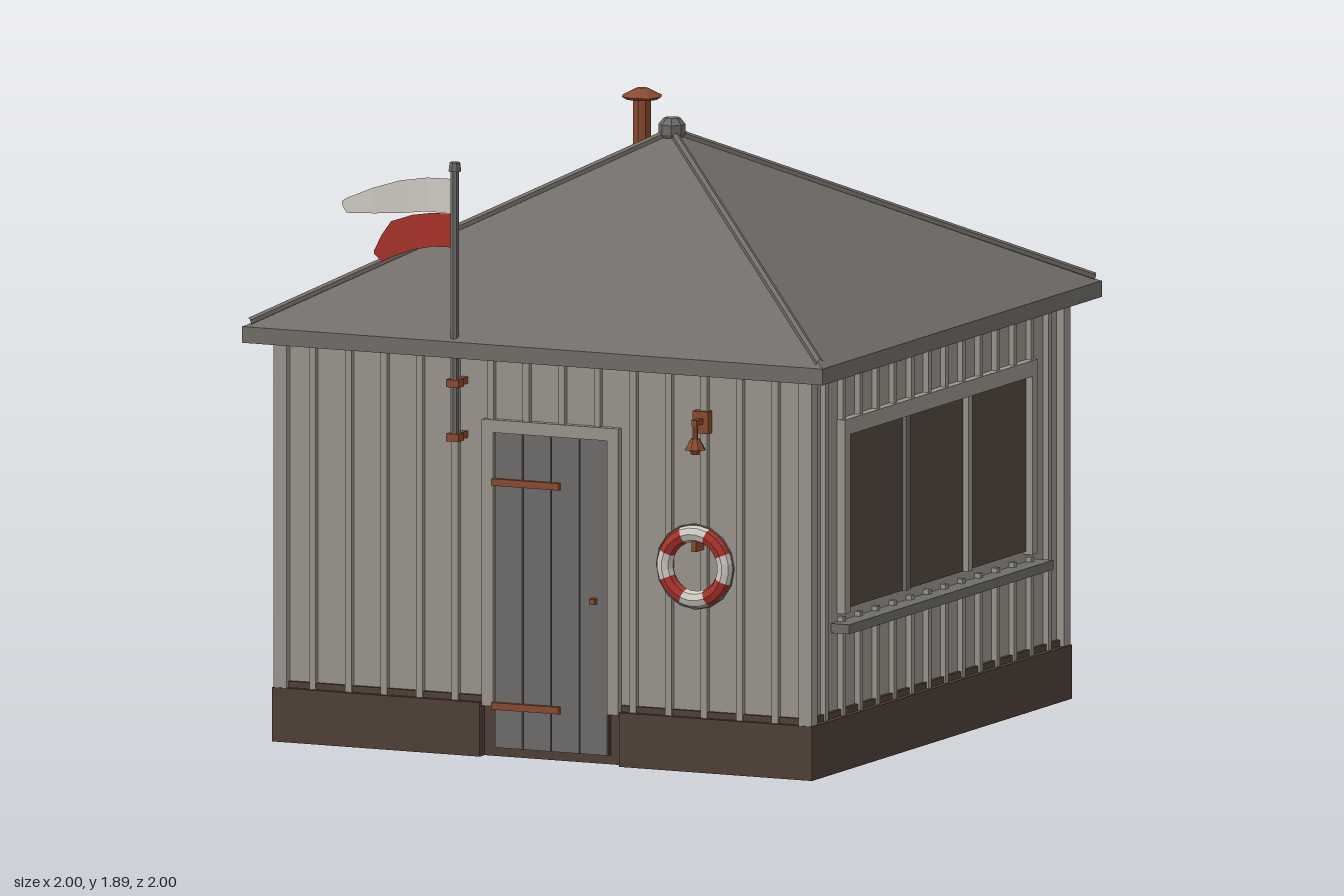
import * as THREE from 'three';

const mat = (name, color, extra = {}) =>
  Object.assign(new THREE.MeshStandardMaterial({ color, flatShading: true, ...extra }), { name });

export function createModel() {
  const wood = mat('weathered wood', 0x9a958c);
  const roofGrey = mat('roof felt', 0x716d68);
  const brown = mat('dark plinth', 0x4f4037);
  const shutter = mat('shutter brown', 0x53473f);
  const steel = mat('grey metal', 0x6d6c6a);
  const rust = mat('rust', 0x8a4a30);
  const red = mat('red', 0xa8332a, { side: THREE.DoubleSide });
  const white = mat('off white', 0xcfccc4, { side: THREE.DoubleSide });

  const model = new THREE.Group();
  model.name = 'beachHut';
  const add = (name, geo, m, parent = model) => {
    const mesh = new THREE.Mesh(geo, m);
    mesh.name = name;
    parent.add(mesh);
    return mesh;
  };
  // box given by its extents on each axis
  const box = (name, [x0, x1], [y0, y1], [z0, z1], m, parent) => {
    const b = add(name, new THREE.BoxGeometry(x1 - x0, y1 - y0, z1 - z0), m, parent);
    b.position.set((x0 + x1) / 2, (y0 + y1) / 2, (z0 + z1) / 2);
    return b;
  };
  // upright cylinder or cone between two heights
  const post = (name, x, z, y0, y1, rBottom, rTop, m, sides = 8) => {
    const p = add(name, new THREE.CylinderGeometry(rTop, rBottom, y1 - y0, sides), m);
    p.position.set(x, (y0 + y1) / 2, z);
    return p;
  };

  // plinth, notched at the doorway
  box('plinth', [-0.93, 0.93], [0, 0.17], [-0.93, 0.895], brown);
  box('plinthFrontRight', [-0.93, -0.215], [0, 0.17], [0.895, 0.93], brown);
  box('plinthFrontLeft', [0.265, 0.93], [0, 0.17], [0.895, 0.93], brown);
  box('wallCore', [-0.9, 0.9], [0.17, 1.27], [-0.9, 0.9], wood);

  // board walls: each side is built facing +z and turned; openings are [u0, u1, v0, v1]
  const sides = [
    ['front', 0, [-0.21, 0.26, 0, 1.06]],
    ['left', Math.PI / 2, [-0.69, 0.69, 0.48, 1.1]],
    ['back', Math.PI, null],
    ['right', -Math.PI / 2, null],
  ];
  for (const [side, angle, hole] of sides) {
    const wall = new THREE.Group();
    wall.name = side + 'Wall';
    wall.rotation.y = angle;
    model.add(wall);
    const batten = (u, y0, y1) =>
      y1 > y0 && box('batten', [u - 0.011, u + 0.011], [y0, y1], [0.895, 0.918], wood, wall);
    for (let i = 0; i < 14; i++) {
      const u = (i - 6.5) * 0.1225;
      if (hole && u > hole[0] && u < hole[1]) {
        batten(u, 0.17, hole[2]);
        batten(u, hole[3], 1.26);
      } else batten(u, 0.17, 1.26);
    }
    // skirting strip along the wall foot
    const strips = side === 'front' ? [[-0.885, -0.215], [0.265, 0.885]] : [[-0.885, 0.885]];
    for (const s of strips) box('skirting', s, [0.165, 0.19], [0.89, 0.912], brown, wall);
  }
  for (const sx of [-1, 1]) for (const sz of [-1, 1]) {
    const c = box('cornerBoard', [-0.022, 0.022], [0.17, 1.26], [-0.022, 0.022], wood);
    c.position.x = sx * 0.904;
    c.position.z = sz * 0.904;
  }

  // door with planks, frame, strap hinges and knob
  box('doorJambRight', [-0.21, -0.172], [0.16, 1.06], [0.89, 0.925], wood);
  box('doorJambLeft', [0.222, 0.26], [0.16, 1.06], [0.89, 0.925], wood);
  box('doorHead', [-0.21, 0.26], [1.02, 1.06], [0.89, 0.925], wood);
  box('doorBack', [-0.17, 0.22], [0.03, 1.02], [0.89, 0.906], brown);
  for (let i = 0; i < 4; i++) {
    const x = -0.17 + i * 0.0975;
    box('doorPlank', [x + 0.002, x + 0.0955], [0.03, 1.02], [0.9, 0.917], steel);
  }
  for (const y of [0.162, 0.865])
    box('strapHinge', [-0.175, 0.057], [y - 0.011, y + 0.011], [0.91, 0.932], rust);
  box('doorKnob', [0.166, 0.184], [0.504, 0.522], [0.91, 0.937], rust);

  // serving window on the left wall
  box('shutterPanel', [0.895, 0.906], [0.5, 1.05], [-0.65, 0.65], shutter);
  for (const s of [-1, 1])
    box('windowJamb', [0.89, 0.928], [0.49, 1.1], s < 0 ? [-0.69, -0.65] : [0.65, 0.69], wood);
  box('windowHead', [0.89, 0.928], [1.05, 1.1], [-0.69, 0.69], wood);
  box('windowMullionFront', [0.89, 0.92], [0.5, 1.05], [0.203, 0.232], steel);
  box('windowMullionBack', [0.89, 0.924], [0.5, 1.05], [-0.231, -0.202], wood);
  box('windowSill', [0.89, 0.962], [0.435, 0.465], [-0.73, 0.73], steel);

  // roof: eaves slab, pyramid, hip caps and finial
  box('eaves', [-1, 1], [1.257, 1.308], [-1, 1], roofGrey);
  const roof = add('roof', new THREE.CylinderGeometry(0.001, 0.997 * Math.SQRT2, 0.54, 4), roofGrey);
  roof.rotation.y = Math.PI / 4;
  roof.position.y = 1.308 + 0.27;
  const apex = new THREE.Vector3(0, 1.85, 0);
  for (const sx of [-1, 1]) for (const sz of [-1, 1]) {
    const line = new THREE.LineCurve3(apex, new THREE.Vector3(sx * 0.982, 1.322, sz * 0.982));
    add('hipCap', new THREE.TubeGeometry(line, 1, 0.013, 6), roofGrey);
  }
  const finial = add('finial', new THREE.LatheGeometry(
    [[0, 1.815], [0.028, 1.82], [0.042, 1.842], [0.042, 1.872], [0.026, 1.892], [0, 1.895]]
      .map(([r, y]) => new THREE.Vector2(r, y)), 8), steel);
  finial.rotation.y = Math.PI / 8;

  // stovepipe
  post('pipeCollar', -0.38, -0.575, 1.48, 1.59, 0.05, 0.05, steel);
  post('pipeCollarTop', -0.38, -0.575, 1.59, 1.605, 0.05, 0.034, steel);
  post('stovepipe', -0.38, -0.575, 1.55, 1.855, 0.03, 0.03, rust);
  post('pipeCapRim', -0.38, -0.575, 1.845, 1.855, 0.05, 0.066, rust);
  post('pipeCap', -0.38, -0.575, 1.855, 1.88, 0.066, 0.018, rust);

  // flagpole with wall brackets
  post('flagpole', -0.28, 0.972, 1.0, 1.845, 0.014, 0.014, steel);
  post('poleKnob', -0.28, 0.972, 1.84, 1.868, 0.021, 0.017, steel);
  for (const y of [1.005, 1.175]) {
    box('poleBracket', [-0.29, -0.27], [y - 0.011, y + 0.011], [0.9, 0.97], rust);
    box('poleClamp', [-0.302, -0.258], [y - 0.012, y + 0.012], [0.954, 0.99], rust);
  }

  // flag strips: columns of [x, top, bottom], gently rippled
  const flagStrip = (name, columns, m) => {
    const pos = [], index = [];
    columns.forEach(([x, top, bottom], i) => {
      const z = 0.972 + 0.009 * Math.sin((x + 0.28) * 14);
      pos.push(x, top, z, x, bottom, z);
      if (i) index.push(2 * i - 2, 2 * i, 2 * i - 1, 2 * i - 1, 2 * i, 2 * i + 1);
    });
    const g = new THREE.BufferGeometry();
    g.setAttribute('position', new THREE.Float32BufferAttribute(pos, 3));
    g.setIndex(index);
    g.computeVertexNormals();
    add(name, g, m);
  };
  flagStrip('flagWhite', [[-0.285, 1.815, 1.705], [-0.38, 1.812, 1.706], [-0.47, 1.798, 1.695],
    [-0.56, 1.77, 1.69], [-0.65, 1.732, 1.686], [-0.665, 1.722, 1.71]], white);
  flagStrip('flagRed', [[-0.285, 1.705, 1.6], [-0.36, 1.703, 1.597], [-0.43, 1.692, 1.582],
    [-0.5, 1.668, 1.555], [-0.53, 1.625, 1.54], [-0.555, 1.575, 1.563]], red);

  // lifebuoy with alternating bands, rope and hook
  const buoy = new THREE.Group();
  buoy.name = 'lifebuoy';
  buoy.position.set(0.545, 0.653, 0.965);
  model.add(buoy);
  for (let i = 0; i < 8; i++) {
    const band = add('buoyBand', new THREE.TorusGeometry(0.104, 0.027, 8, 3, Math.PI / 4), i % 2 ? red : white, buoy);
    band.rotation.z = (i - 0.5) * Math.PI / 4;
  }
  add('buoyRope', new THREE.TorusGeometry(0.132, 0.004, 5, 16), steel, buoy);
  box('buoyHook', [0.537, 0.553], [0.7, 0.735], [0.9, 0.975], rust);

  // wall lamp
  box('lampPlate', [0.519, 0.571], [1.065, 1.135], [0.9, 0.93], rust);
  box('lampArm', [0.536, 0.554], [1.095, 1.113], [0.92, 0.975], rust);
  post('lampStem', 0.545, 0.966, 1.045, 1.11, 0.009, 0.009, rust, 6);
  post('lampShade', 0.545, 0.966, 1.02, 1.055, 0.034, 0.014, rust);
  post('lampBulb', 0.545, 0.966, 1.005, 1.02, 0.014, 0.02, rust);

  return model;
}
